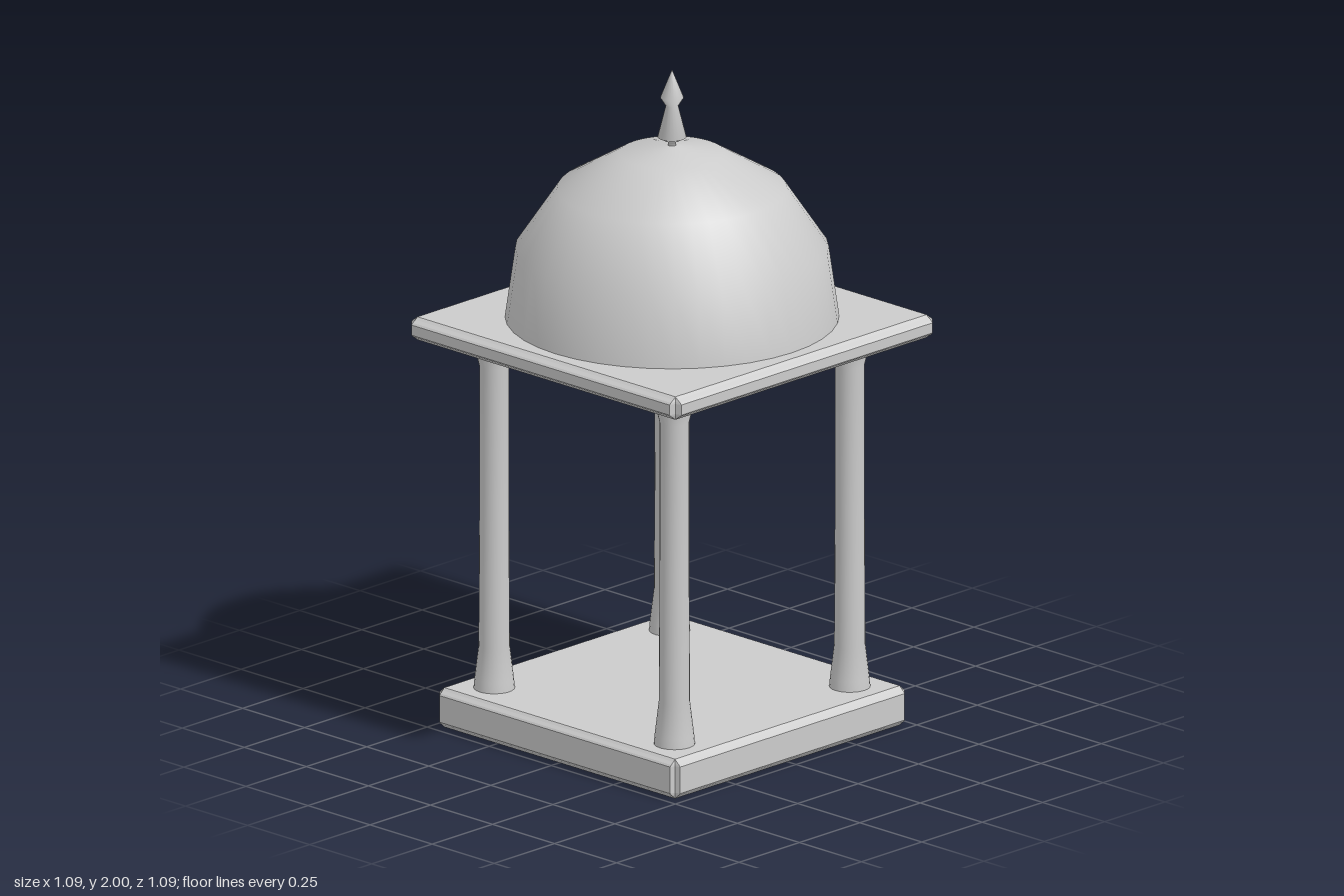
import * as THREE from 'three';

const stone = new THREE.MeshStandardMaterial({ color: 0xcccccc, side: THREE.DoubleSide });
const flatStone = new THREE.MeshStandardMaterial({ color: 0xcccccc, flatShading: true });

function addLathe(parent, name, profile, sides, x = 0, z = 0) {
  const points = profile.map(([r, y]) => new THREE.Vector2(r, y));
  const mesh = new THREE.Mesh(new THREE.LatheGeometry(points, sides), stone);
  mesh.name = name;
  mesh.position.set(x, 0, z);
  parent.add(mesh);
}

// Square slab whose four edges swell outward, leaving a notch at each corner
function addSlab(parent, name, half, bulge, y0, y1, lip) {
  const layers = [
    [y0, 0], [y0 + lip * 0.5, 0.35], [y0 + lip, 0.8], [y0 + lip * 1.4, 1],
    [y1 - lip * 1.4, 1], [y1 - lip, 0.8], [y1 - lip * 0.5, 0.35], [y1, 0],
  ];
  const positions = [], index = [], n = 12;
  for (const [y, swell] of layers) {
    const b = bulge * swell;
    for (let k = 0; k < 4; k++) {
      for (let [x, z] of [[half + b, half], [half + b * 0.2, half + b * 0.2], [half, half + b]]) {
        for (let t = 0; t < k; t++) [x, z] = [-z, x];
        positions.push(x, y, z);
      }
    }
  }
  for (let l = 0; l < layers.length - 1; l++) {
    for (let i = 0; i < n; i++) {
      const a = l * n + i, b = l * n + (i + 1) % n;
      index.push(a, a + n, b, b, a + n, b + n);
    }
  }
  // Flat bottom and top
  const top = (layers.length - 1) * n;
  index.push(0, 3, 6, 0, 6, 9, top, top + 6, top + 3, top, top + 9, top + 6);
  const geometry = new THREE.BufferGeometry();
  geometry.setAttribute('position', new THREE.Float32BufferAttribute(positions, 3));
  geometry.setIndex(index);
  geometry.computeVertexNormals();
  const mesh = new THREE.Mesh(geometry, flatStone);
  mesh.name = name;
  parent.add(mesh);
}

export function createModel() {
  const group = new THREE.Group();
  group.name = 'domedPavilion';

  addSlab(group, 'base', 0.465, 0.02, 0, 0.12, 0.014);
  addSlab(group, 'roofSlab', 0.52, 0.024, 1.18, 1.25, 0.014);

  // Four columns with flared foot and head
  const column = [[0.06, 0.115], [0.057, 0.15], [0.045, 0.25], [0.043, 0.68], [0.043, 1.1], [0.064, 1.185]];
  for (const sx of [-1, 1]) {
    for (const sz of [-1, 1]) {
      addLathe(group, `${sz > 0 ? 'front' : 'back'}${sx > 0 ? 'Left' : 'Right'}Column`,
        column, 24, sx * 0.363, sz * 0.363);
    }
  }

  // Faceted-profile dome and its pointed finial
  addLathe(group, 'dome', [[0.483, 1.25], [0.453, 1.46], [0.332, 1.64], [0.152, 1.747], [0, 1.772]], 40);
  addLathe(group, 'finial',
    [[0.012, 1.765], [0.012, 1.78], [0.042, 1.795], [0.018, 1.89], [0.034, 1.915], [0, 2]], 20);

  return group;
}
